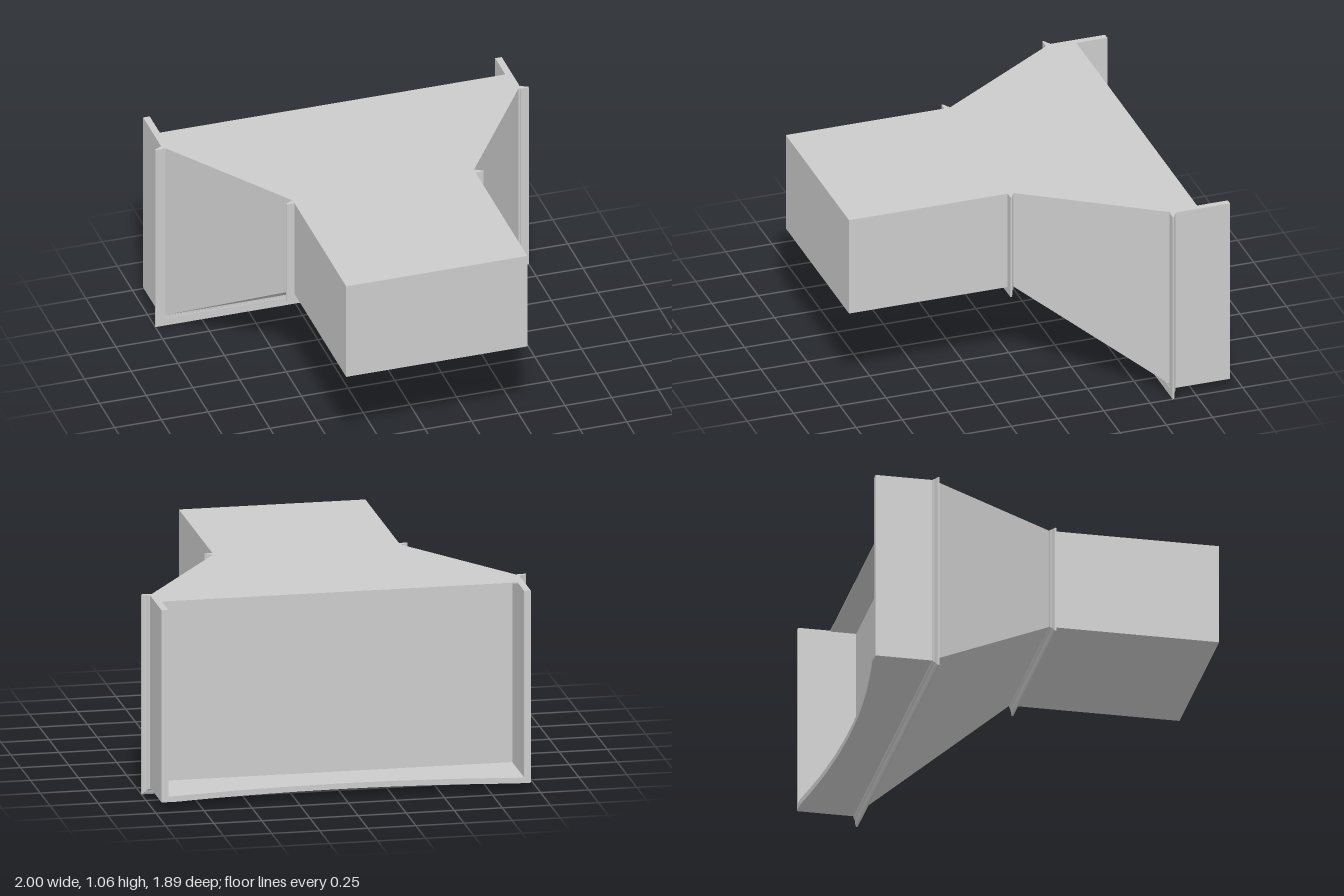
import * as THREE from 'three';

const TOP = 1.055;
const material = new THREE.MeshStandardMaterial({ color: 0xcccccc, flatShading: true, side: THREE.DoubleSide });

function add(group, name, geometry) {
  const mesh = new THREE.Mesh(geometry, material);
  mesh.name = name;
  group.add(mesh);
  return mesh;
}

// Box given by its lower and upper corners
function box(x0, x1, y0, y1, z0, z1) {
  return new THREE.BoxGeometry(x1 - x0, y1 - y0, z1 - z0)
    .translate((x0 + x1) / 2, (y0 + y1) / 2, (z0 + z1) / 2);
}

// U-shaped lip swept down one side, under the duct and up the other side, with mitred corners
function lipGeometry(halfWidth, bottom, zFront) {
  // profile: outward offset, depth behind the flat front face
  const profile = [[0, 0], [0.045, 0], [0.045, 0.007], [0.035, 0.014], [0.022, 0.019], [0.012, 0.028], [0, 0.03]];
  const n = profile.length;
  const stations = [[1, true], [1, false], [-1, false], [-1, true]];
  const positions = [];
  for (const [side, atTop] of stations) {
    for (const [d, back] of profile) {
      positions.push(side * (halfWidth + d), atTop ? TOP : bottom - d, zFront - back);
    }
  }
  const index = [];
  for (let s = 0; s < 3; s++) {
    for (let i = 0; i < n; i++) {
      const a = s * n + i, b = s * n + (i + 1) % n;
      index.push(a, a + n, b, b, a + n, b + n);
    }
  }
  // end caps at the top
  for (let i = 1; i < n - 1; i++) {
    index.push(0, i, i + 1, 3 * n, 3 * n + i + 1, 3 * n + i);
  }
  const geometry = new THREE.BufferGeometry();
  geometry.setAttribute('position', new THREE.Float32BufferAttribute(positions, 3));
  geometry.setIndex(index);
  const flat = geometry.toNonIndexed();
  flat.computeVertexNormals();
  return flat;
}

export function createModel() {
  const group = new THREE.Group();
  group.name = 'duct';

  // narrow straight section
  add(group, 'narrowSection', box(-0.485, 0.485, 0.515, TOP, 0.06, 0.945));

  // tapered transition: widens and deepens toward the back
  const taper = box(-1, 1, 0, TOP, -0.625, 0.06);
  const p = taper.attributes.position;
  for (let i = 0; i < p.count; i++) {
    const back = p.getZ(i) < -0.3;
    p.setX(i, Math.sign(p.getX(i)) * (back ? 0.945 : 0.485));
    if (p.getY(i) < 0.5) p.setY(i, back ? 0.06 : 0.515);
  }
  taper.computeVertexNormals();
  add(group, 'taper', taper);

  // lips around both joints
  add(group, 'narrowLip', lipGeometry(0.483, 0.523, 0.088));
  add(group, 'wideLip', lipGeometry(0.955, 0.045, -0.622));

  // open hood at the wide end
  add(group, 'hoodInnerWall', box(-0.925, 0.925, 0.06, TOP, -0.645, -0.625));
  add(group, 'hoodTop', box(-0.925, 0.925, TOP - 0.005, TOP, -0.78, -0.645));
  for (const s of [-1, 1]) {
    const [a, b] = s < 0 ? [-0.96, -0.925] : [0.925, 0.96];
    add(group, s < 0 ? 'rightHoodSide' : 'leftHoodSide', box(a, b, 0.07, TOP, -0.947, -0.625));
  }

  // hood floor with a concave rear edge
  const floor = new THREE.Shape();
  floor.moveTo(-0.96, -0.625);
  floor.lineTo(-0.96, -0.947);
  floor.lineTo(-0.88, -0.947);
  floor.quadraticCurveTo(0, -0.803, 0.88, -0.947);
  floor.lineTo(0.96, -0.947);
  floor.lineTo(0.96, -0.625);
  const floorGeometry = new THREE.ExtrudeGeometry(floor, { depth: 0.03, bevelEnabled: false, curveSegments: 24 });
  add(group, 'hoodFloor', floorGeometry.rotateX(Math.PI / 2).translate(0, 0.07, 0));

  return group;
}
